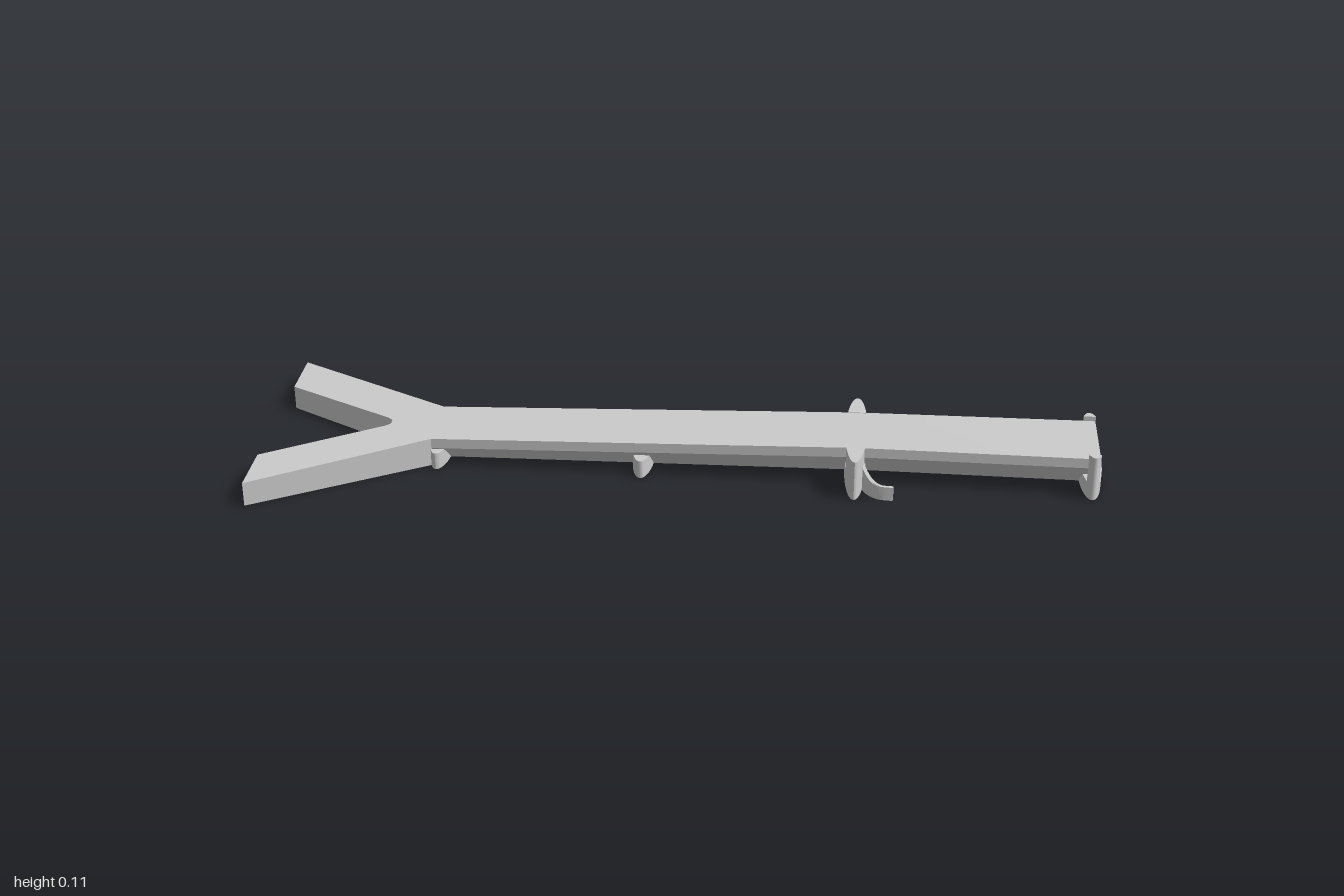
import * as THREE from 'three';
import { toCreasedNormals } from 'three/addons/utils/BufferGeometryUtils.js';

const material = new THREE.MeshStandardMaterial({ color: 0xcccccc, side: THREE.DoubleSide });

// Height of the road surface along x: a gentle ramp, then level
const roadTop = (x) => (x < 0.42 ? 0.06 + ((x + 1) / 1.42) * 0.039 : 0.099);

function addMesh(parent, name, geometry) {
  const mesh = new THREE.Mesh(toCreasedNormals(geometry, 0.6), material);
  mesh.name = name;
  parent.add(mesh);
  return mesh;
}

// Vertical prism from a plan outline of [x, z] points; topAt gives the top height
function prism(points, topAt) {
  const shape = new THREE.Shape(points.map(([x, z]) => new THREE.Vector2(x, -z)));
  const geometry = new THREE.ExtrudeGeometry(shape, { depth: 1, bevelEnabled: false });
  geometry.rotateX(-Math.PI / 2);
  const p = geometry.attributes.position;
  for (let i = 0; i < p.count; i++) {
    if (p.getY(i) > 0.5) p.setY(i, topAt(p.getX(i), p.getZ(i)));
    else p.setY(i, 0);
  }
  geometry.computeVertexNormals();
  return geometry;
}

// Main span: six-sided sections with a slab on a tapering hull
function deckGeometry() {
  const sections = [[-0.6, 0.085], [0.42, 0.091], [0.988, 0.097]].map(([x, w]) => {
    const top = roadTop(x);
    const kink = top - 0.025;
    const foot = w - kink;
    return [[w, top], [w, kink], [foot, 0], [-foot, 0], [-w, kink], [-w, top]]
      .map(([z, y]) => [x, y, z]);
  });
  const verts = [];
  const n = 6;
  for (let s = 0; s < sections.length - 1; s++) {
    const a = sections[s];
    const b = sections[s + 1];
    for (let i = 0; i < n; i++) {
      const j = (i + 1) % n;
      verts.push(...a[i], ...a[j], ...b[j], ...a[i], ...b[j], ...b[i]);
    }
  }
  const first = sections[0];
  const last = sections[sections.length - 1];
  for (let i = 1; i < n - 1; i++) {
    verts.push(...first[0], ...first[i + 1], ...first[i]);
    verts.push(...last[0], ...last[i], ...last[i + 1]);
  }
  const geometry = new THREE.BufferGeometry();
  geometry.setAttribute('position', new THREE.Float32BufferAttribute(verts, 3));
  geometry.computeVertexNormals();
  return geometry;
}

// Points on an elliptical pier outline between two angles (angle 0 points to +z)
function ellipseArc(cx, rx, rz, from, to, steps) {
  const points = [];
  for (let i = 0; i <= steps; i++) {
    const a = from + ((to - from) * i) / steps;
    points.push([cx + rx * Math.sin(a), rz * Math.cos(a)]);
  }
  return points;
}

function addPier(parent, { name, x, rz, beam, post, inner }) {
  const pier = new THREE.Group();
  pier.name = name;
  const rx = 0.026;
  const outline = ellipseArc(x, rx, rz, 0, Math.PI * 2, 48).slice(0, -1);
  addMesh(pier, 'crossbeam', prism(outline, () => beam));
  // Raised tips on both sides of the deck
  if (post) {
    const half = Math.acos(inner / rz);
    for (const side of [1, -1]) {
      const tip = ellipseArc(x, rx, rz, -half, half, 20).map(([px, pz]) => [px, pz * side]);
      addMesh(pier, side > 0 ? 'leftPost' : 'rightPost', prism(tip, () => post));
    }
  }
  parent.add(pier);
}

// Thin curved wall beside the tall pier, dropping to a low end
function finGeometry(side) {
  const curve = new THREE.CatmullRomCurve3([
    [0.43, 0.094], [0.44, 0.118], [0.455, 0.14], [0.475, 0.154], [0.508, 0.158],
  ].map(([x, z]) => new THREE.Vector3(x, 0, z)));
  const outer = [];
  const inner = [];
  for (let i = 0; i <= 14; i++) {
    const p = curve.getPoint(i / 14);
    const t = curve.getTangent(i / 14);
    outer.push([p.x - t.z * 0.004, (p.z + t.x * 0.004) * side]);
    inner.unshift([p.x + t.z * 0.004, (p.z - t.x * 0.004) * side]);
  }
  const topAt = (x, z) => 0.035 + Math.max(0, 0.152 - Math.abs(z)) * 0.65;
  return prism([...outer, ...inner], topAt);
}

export function createModel() {
  const bridge = new THREE.Group();
  bridge.name = 'bridge';

  addMesh(bridge, 'deck', deckGeometry());

  // Forked end with two solid ramps
  const half = [[-0.6, 0.085], [-1, 0.32], [-1, 0.18], [-0.725, 0.021], [-0.713, 0.009]];
  const mirrored = half.map(([x, z]) => [x, -z]).reverse();
  addMesh(bridge, 'forkedRamp', prism([...half, ...mirrored], roadTop));

  [
    { name: 'forkPier', x: -0.587, rz: 0.105, beam: 0.042 },
    { name: 'middlePier', x: -0.094, rz: 0.105, beam: 0.045 },
    { name: 'tallPier', x: 0.416, rz: 0.165, beam: 0.04, post: 0.1, inner: 0.088 },
    { name: 'endPier', x: 0.974, rz: 0.116, beam: 0.04, post: 0.111, inner: 0.096 },
  ].forEach((pier) => addPier(bridge, pier));

  for (const side of [1, -1]) {
    addMesh(bridge, side > 0 ? 'leftFin' : 'rightFin', finGeometry(side));
  }
  return bridge;
}
